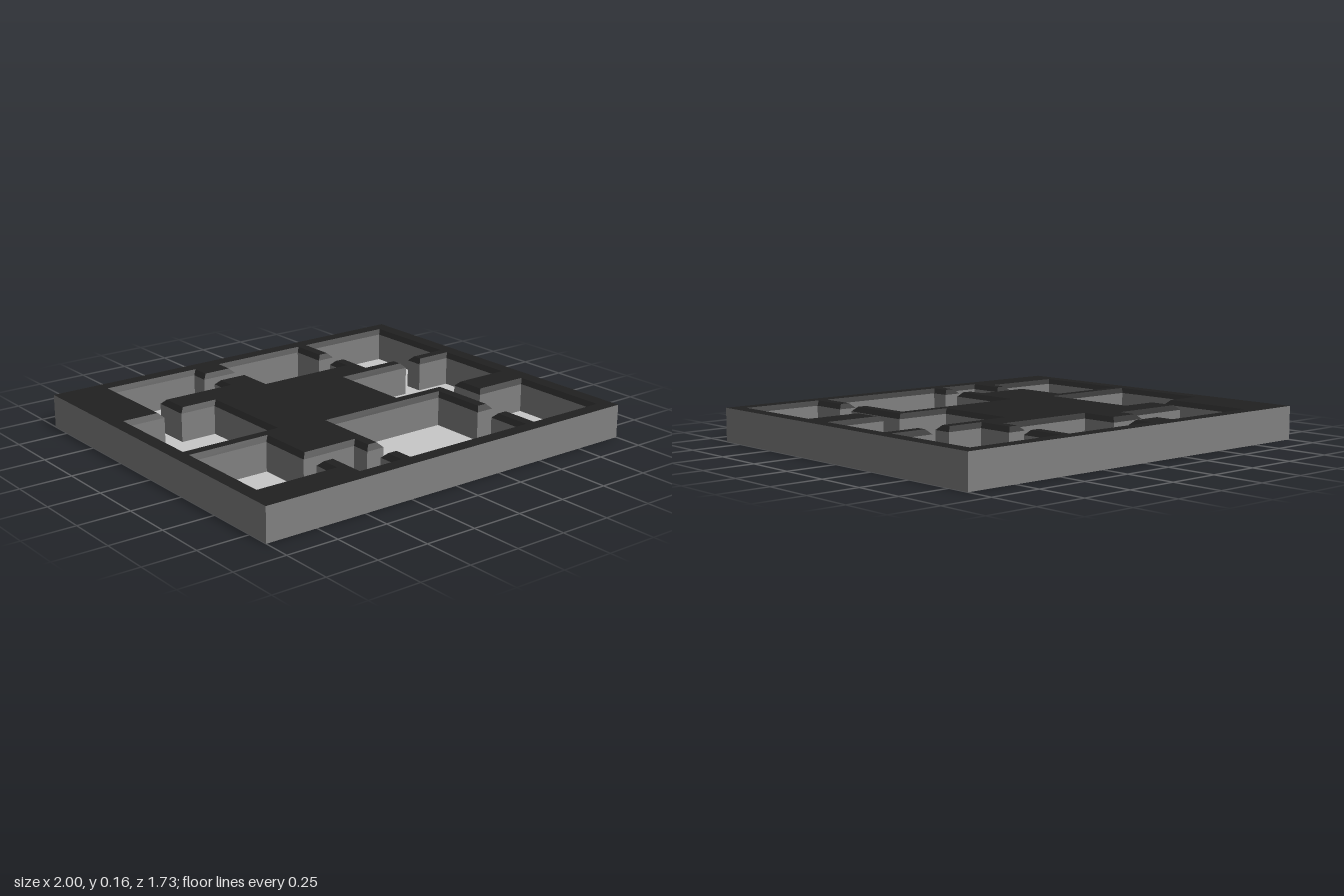
import * as THREE from 'three';

const CELL = 2 / 22, COLS = 22, ROWS = 19;
const HEIGHT = 0.16, BEVEL = 0.022;

// Outline of the connected rooms and doorways in grid cells: column, row (clockwise from above)
const OUTLINE = [
  [3, 1], [8, 1], [8, 2], [10, 2], [10, 1], [15, 1], [15, 3], [16, 3], [16, 1], [21, 1],
  [21, 6], [19, 6], [19, 7], [21, 7], [21, 11], [18, 11], [18, 13], [21, 13], [21, 18], [17, 18],
  [17, 16], [16, 16], [16, 18], [9, 18], [9, 17], [8, 17], [8, 18], [6, 18], [6, 16], [5, 16],
  [5, 17], [1, 17], [1, 12], [5, 12], [5, 15], [8, 15], [8, 16], [9, 16], [9, 12], [16, 12],
  [16, 15], [17, 15], [17, 11], [14, 11], [14, 7], [18, 7], [18, 6], [16, 6], [16, 4], [15, 4],
  [15, 5], [10, 5], [10, 3], [8, 3], [8, 4], [4, 4], [4, 6], [6, 6], [6, 11], [1, 11],
  [1, 6], [3, 6],
];

const toWorld = ([c, r]) => new THREE.Vector2((c - COLS / 2) * CELL, (r - ROWS / 2) * CELL);

// Grow a right-angled loop outwards by a distance
function grow(loop, distance) {
  const n = loop.length;
  const inward = (a, b) => {
    const d = b.clone().sub(a).normalize();
    return new THREE.Vector2(-d.y, d.x);
  };
  return loop.map((p, i) => {
    const before = inward(loop[(i + n - 1) % n], p);
    const after = inward(p, loop[(i + 1) % n]);
    return p.clone().addScaledVector(before.add(after), -distance);
  });
}

// Flat-sided band joining two loops at two heights
function band(lower, y0, upper, y1) {
  const positions = [];
  lower.forEach((p, i) => {
    const j = (i + 1) % lower.length;
    const a = [p.x, y0, p.y], b = [lower[j].x, y0, lower[j].y];
    const c = [upper[j].x, y1, upper[j].y], d = [upper[i].x, y1, upper[i].y];
    positions.push(...a, ...b, ...c, ...a, ...c, ...d);
  });
  const geometry = new THREE.BufferGeometry();
  geometry.setAttribute('position', new THREE.Float32BufferAttribute(positions, 3));
  geometry.computeVertexNormals();
  return geometry;
}

// Horizontal sheet filling a loop, with optional hole
function sheet(loop, y, hole) {
  const flip = (points) => points.map((p) => new THREE.Vector2(p.x, -p.y));
  const shape = new THREE.Shape(flip(loop));
  if (hole) shape.holes.push(new THREE.Path(flip(hole)));
  return new THREE.ShapeGeometry(shape).rotateX(-Math.PI / 2).translate(0, y, 0);
}

export function createModel() {
  const material = (name, color) => {
    const m = new THREE.MeshStandardMaterial({ color, side: THREE.DoubleSide });
    m.name = name;
    return m;
  };
  const wallGrey = material('wall grey', 0x808080);
  const floorGrey = material('floor light grey', 0xc8c8c8);
  const capBlack = material('cap black', 0x212121);

  const group = new THREE.Group();
  group.name = 'floorPlan';
  const add = (name, geometry, mat) => {
    const mesh = new THREE.Mesh(geometry, mat);
    mesh.name = name;
    group.add(mesh);
  };

  const rooms = OUTLINE.map(toWorld);
  const capHole = grow(rooms, BEVEL);
  const border = [[0, 0], [0, ROWS], [COLS, ROWS], [COLS, 0]].map(toWorld);
  const bevelBase = HEIGHT - BEVEL;

  add('floor', sheet(rooms, 0), floorGrey);
  add('roomWalls', band(rooms, 0, rooms, bevelBase), wallGrey);
  add('outerWalls', band(border, 0, border, HEIGHT), wallGrey);
  // Black cap over the solid areas, sloping down to the room walls
  add('wallCap', sheet(border, HEIGHT, capHole), capBlack);
  add('capBevel', band(rooms, bevelBase, capHole, HEIGHT), capBlack);

  return group;
}
